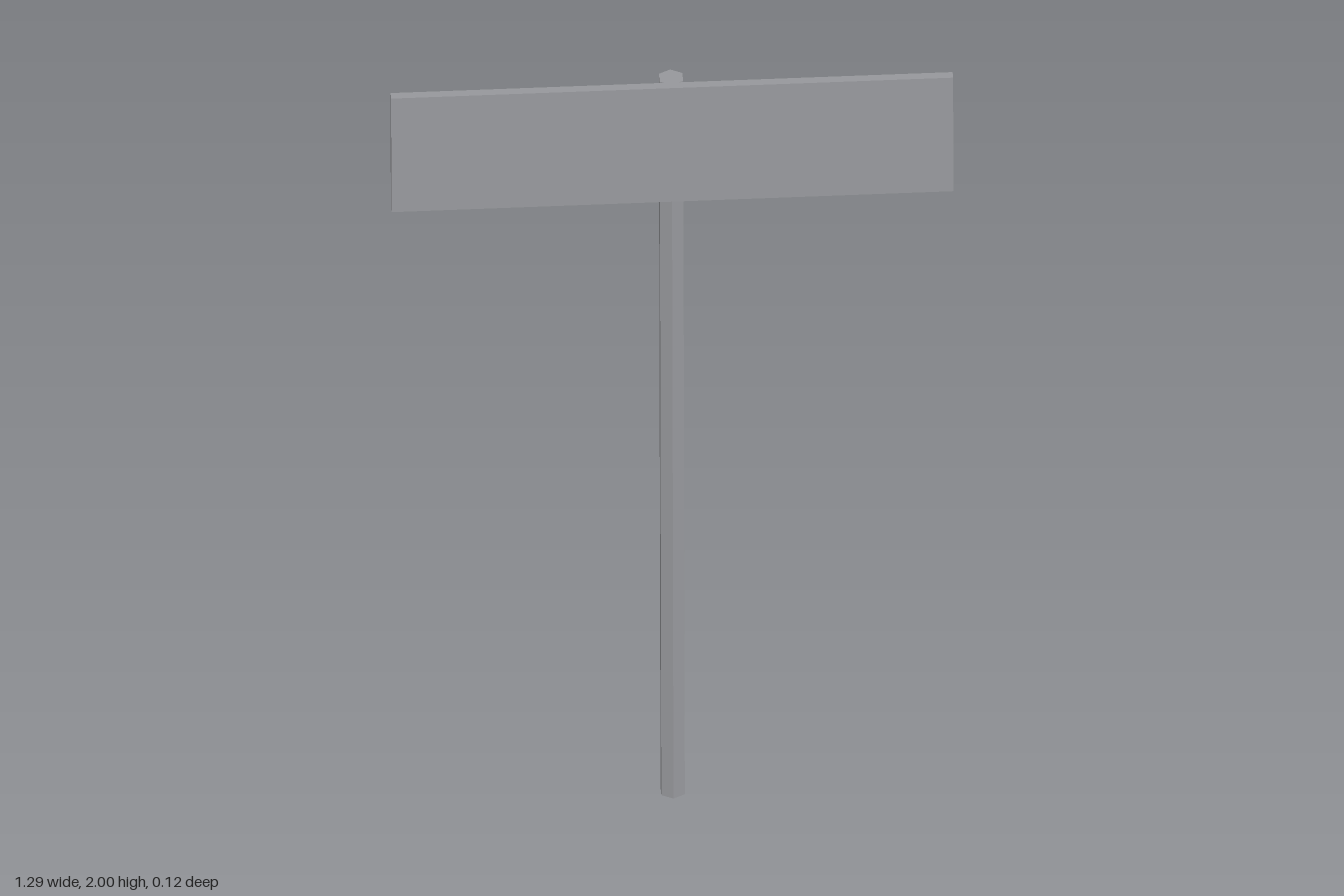
import * as THREE from 'three';

export function createModel() {
  const metal = new THREE.MeshStandardMaterial({ color: 0x98999d, flatShading: true });
  metal.name = 'grey metal';

  const model = new THREE.Group();
  model.name = 'signpost';

  // The whole sign leans slightly backwards about its middle
  const sign = new THREE.Group();
  sign.name = 'leaningSign';
  sign.position.y = 1;
  sign.rotation.x = -0.031;
  model.add(sign);

  // Six-sided pole with a ridge facing the front
  const pole = new THREE.Mesh(new THREE.CylinderGeometry(0.031, 0.031, 1.998, 6), metal);
  pole.name = 'pole';
  sign.add(pole);

  // Blank board fixed to the front of the pole
  const board = new THREE.Mesh(new THREE.BoxGeometry(1.286, 0.318, 0.022), metal);
  board.name = 'signBoard';
  board.position.set(0, 0.84, 0.032);
  sign.add(board);

  return model;
}
